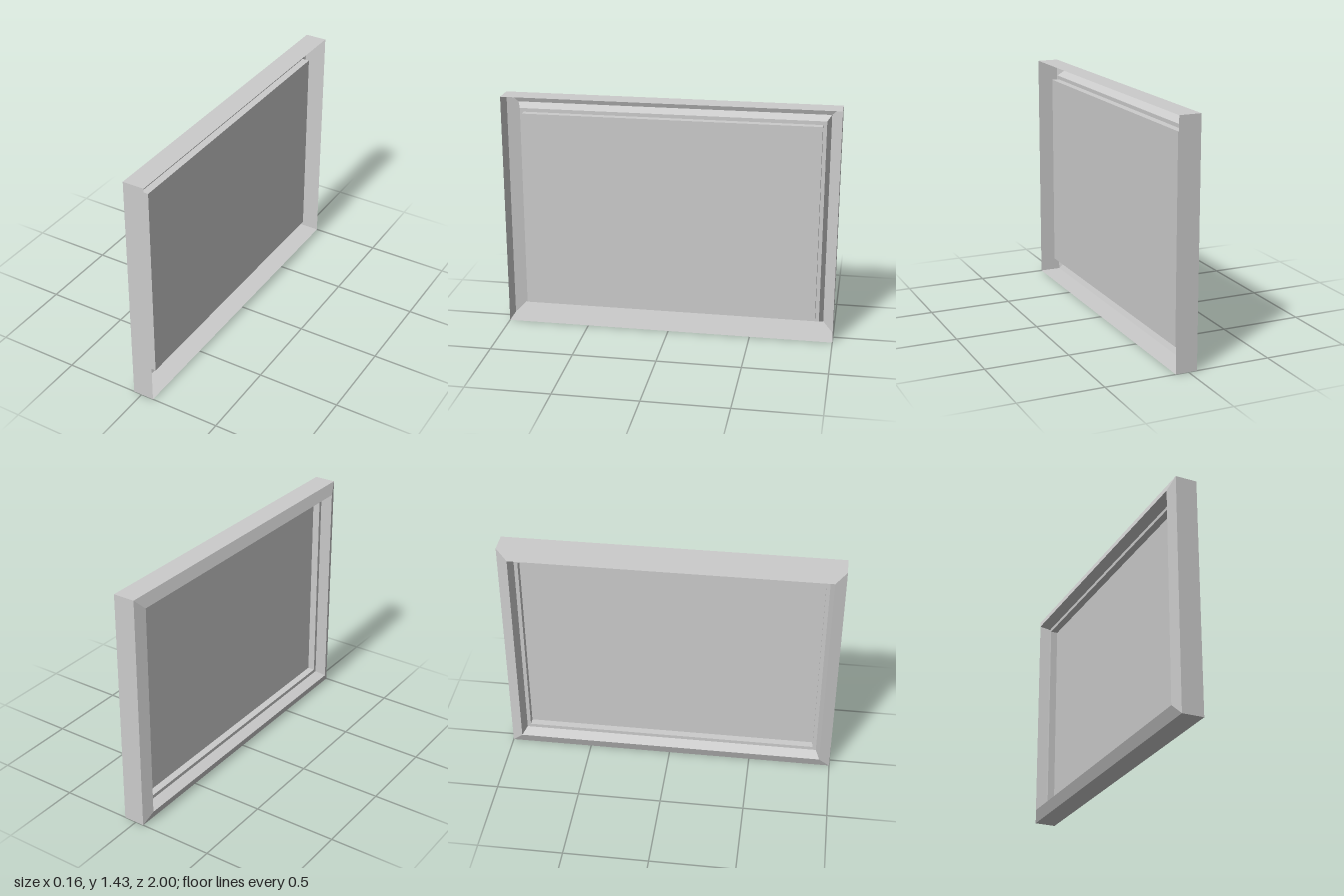
import * as THREE from 'three';

const HALF_WIDTH = 1, HEIGHT = 1.433;

// Moulding section from the open rim to the panel edge: [x, inset from the outer edge]
const PROFILE = [
  [0.078, 0], [-0.052, 0], [-0.078, 0.065],
  [-0.018, 0.089], [-0.018, 0.111], [0.026, 0.111],
];

// Four corners of the rectangle at one section point
function ring([x, inset]) {
  const z = HALF_WIDTH - inset, top = HEIGHT - inset;
  return [[x, inset, z], [x, inset, -z], [x, top, -z], [x, top, z]];
}

function quadMesh(name, quads, material) {
  const points = quads.flatMap(([a, b, c, d]) => [a, b, c, a, c, d]);
  const geometry = new THREE.BufferGeometry();
  geometry.setAttribute('position', new THREE.Float32BufferAttribute(points.flat(), 3));
  geometry.computeVertexNormals();
  const mesh = new THREE.Mesh(geometry, material);
  mesh.name = name;
  return mesh;
}

export function createModel() {
  const group = new THREE.Group();
  group.name = 'framedPanel';
  const material = new THREE.MeshStandardMaterial({
    color: 0xcccccc, flatShading: true, side: THREE.DoubleSide,
  });
  const rings = PROFILE.map(ring);

  // Thin mitred moulding, hollow on the +x side
  const sides = [];
  for (let i = 0; i < rings.length - 1; i++) {
    for (let k = 0; k < 4; k++) {
      const n = (k + 1) % 4;
      sides.push([rings[i][k], rings[i + 1][k], rings[i + 1][n], rings[i][n]]);
    }
  }
  group.add(quadMesh('frame', sides, material));

  // Flat sheet closing the inner edge
  const [a, b, c, d] = rings[rings.length - 1];
  group.add(quadMesh('panel', [[a, d, c, b]], material));
  return group;
}
